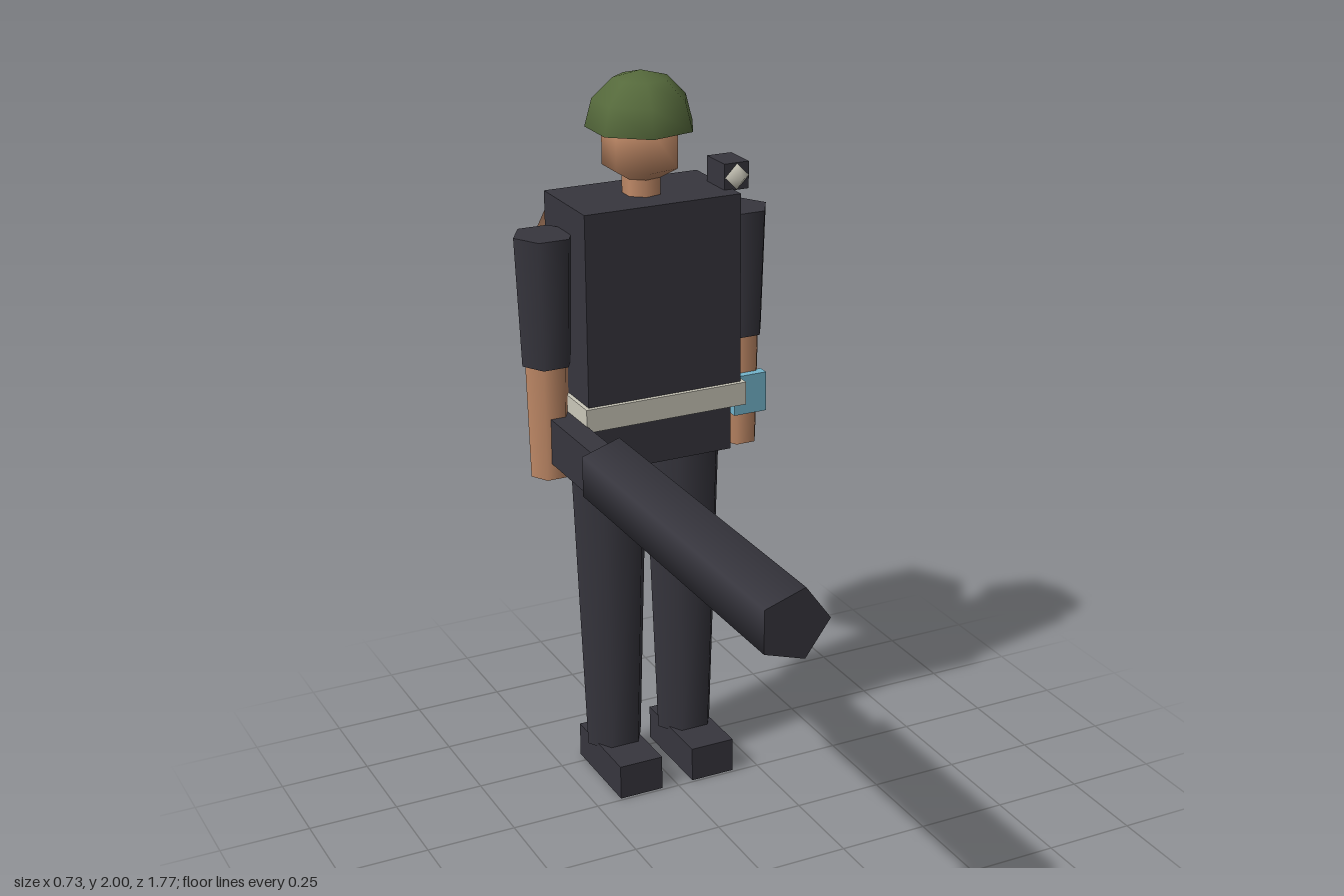
import * as THREE from 'three';

const mat = (name, color, side = THREE.FrontSide) => {
  const m = new THREE.MeshStandardMaterial({ color, side });
  m.name = name;
  return m;
};

export function createModel() {
  const charcoal = mat('charcoal', 0x37363e);
  const skin = mat('skin', 0xc28b68);
  const green = mat('helmetGreen', 0x566a3c, THREE.DoubleSide);
  const brown = mat('packBrown', 0x765540);
  const pale = mat('paleGrey', 0xcbc8ba);
  const blue = mat('screenBlue', 0x74b6cd);

  const model = new THREE.Group();
  model.name = 'soldier';
  const Z = -0.44; // depth of the body axis

  const add = (name, geometry, material, x, y, z) => {
    const mesh = new THREE.Mesh(geometry, material);
    mesh.name = name;
    mesh.position.set(x, y, z);
    model.add(mesh);
    return mesh;
  };
  const box = (name, material, w, h, d, x, y, z) =>
    add(name, new THREE.BoxGeometry(w, h, d), material, x, y, z);
  // Upright tapered prism between two heights, one corner pointing to +x
  const limb = (name, material, rTop, rBottom, yTop, yBottom, x, sides = 6) =>
    add(name, new THREE.CylinderGeometry(rTop, rBottom, yTop - yBottom, sides).rotateY(Math.PI / 2),
      material, x, (yTop + yBottom) / 2, Z);

  // Trunk
  box('torso', charcoal, 0.445, 0.58, 0.26, 0, 1.39, Z);
  box('belt', pale, 0.468, 0.064, 0.284, 0, 1.128, Z);
  box('hips', charcoal, 0.4, 0.15, 0.233, 0, 1.04, Z);
  box('beltPouch', pale, 0.05, 0.11, 0.08, 0.215, 1.095, Z);

  // Head, neck and helmet
  limb('neck', skin, 0.053, 0.053, 1.76, 1.67, 0, 7);
  add('head', new THREE.SphereGeometry(0.12, 7, 3).rotateY(Math.PI), skin, 0, 1.815, Z);
  add('helmet', new THREE.SphereGeometry(0.147, 7, 3, 0, Math.PI * 2, 0, Math.PI / 2).rotateY(Math.PI),
    green, 0, 1.855, Z);

  // Paired limbs
  for (const [side, s] of [['left', 1], ['right', -1]]) {
    limb(side + 'Leg', charcoal, 0.113, 0.082, 0.975, 0.09, s * 0.11);
    box(side + 'Boot', charcoal, 0.128, 0.1, 0.28, s * 0.111, 0.05, -0.398);
    limb(side + 'Sleeve', charcoal, 0.083, 0.07, 1.605, 1.255, s * 0.282);
    limb(side + 'Forearm', skin, 0.061, 0.054, 1.26, 0.94, s * 0.283);
  }

  // Wrist screen on the left forearm
  box('wristScreen', blue, 0.097, 0.112, 0.032, 0.283, 1.094, -0.383);

  // Shoulder lamp
  box('lampHousing', charcoal, 0.072, 0.073, 0.1, 0.234, 1.713, -0.408);
  add('lampBulb', new THREE.SphereGeometry(0.035, 4, 2), pale, 0.234, 1.713, -0.355);

  // Backpack
  add('backpack', new THREE.SphereGeometry(0.215, 6, 3), brown, 0, 1.419, -0.724);

  // Launcher held in the right hand
  box('launcherGrip', charcoal, 0.065, 0.127, 0.36, -0.264, 1.05, -0.265);
  add('launcherBarrel',
    new THREE.CylinderGeometry(0.092, 0.092, 0.977, 5).rotateY(Math.PI / 2).rotateX(Math.PI / 2),
    charcoal, -0.265, 1.072, 0.399);

  return model;
}
